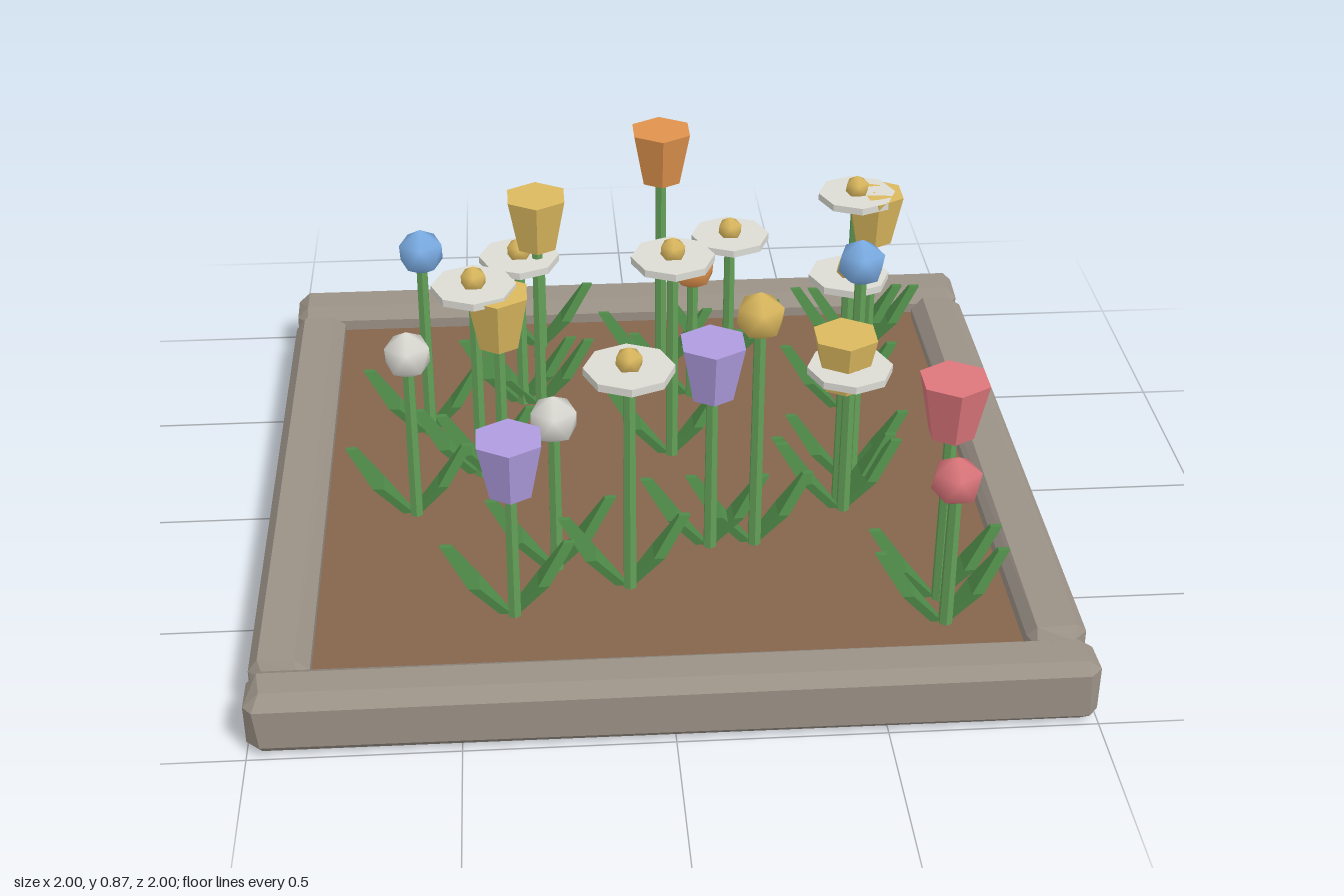
import * as THREE from 'three';
import { ConvexGeometry } from 'three/addons/geometries/ConvexGeometry.js';

const mat = (name, color, flatShading = true) => {
  const m = new THREE.MeshStandardMaterial({ color, flatShading });
  m.name = name;
  return m;
};

const SOIL_Y = 0.1;

export function createModel() {
  const M = {
    wood: mat('weathered wood', 0x9a9186),
    soil: mat('soil', 0x85644b),
    stem: mat('stem green', 0x639f57),
    leaf: mat('leaf green', 0x4f8a49),
    yellow: mat('yellow', 0xdcb95f, false),
    orange: mat('orange', 0xe0934e, false),
    purple: mat('purple', 0xaf9cdf, false),
    red: mat('red', 0xdd777c, false),
    blue: mat('blue', 0x7caee6, false),
    white: mat('white', 0xdcdbd4, false),
  };

  const root = new THREE.Group();
  root.name = 'flowerBed';
  const add = (parent, name, geo, material, x = 0, y = 0, z = 0) => {
    const mesh = new THREE.Mesh(geo, material);
    mesh.name = name;
    mesh.position.set(x, y, z);
    parent.add(mesh);
    return mesh;
  };

  let seed = 7;
  const rand = () => {
    seed = (seed * 16807) % 2147483647;
    return seed / 2147483647;
  };

  // Rough beam: a box whose corners are cut unevenly
  const beam = (w, h, d) => {
    const half = [w / 2, h / 2, d / 2];
    const pts = [];
    for (const sx of [-1, 1]) for (const sy of [-1, 1]) for (const sz of [-1, 1]) {
      const s = [sx, sy, sz];
      for (let axis = 0; axis < 3; axis++) {
        const p = half.map((e, i) => s[i] * (i === axis ? e : e - 0.02 - 0.02 * rand()));
        pts.push(new THREE.Vector3(...p));
      }
    }
    return new ConvexGeometry(pts);
  };

  // Frame
  add(root, 'frontBeam', beam(2, 0.165, 0.145), M.wood, 0, 0.0825, 0.9275);
  add(root, 'backBeam', beam(2, 0.165, 0.145), M.wood, 0, 0.0825, -0.9275);
  add(root, 'leftBeam', beam(0.145, 0.16, 1.715), M.wood, 0.9275, 0.08, 0);
  add(root, 'rightBeam', beam(0.145, 0.16, 1.715), M.wood, -0.9275, 0.08, 0);
  add(root, 'soil', new THREE.BoxGeometry(1.76, SOIL_Y - 0.02, 1.76), M.soil, 0, (SOIL_Y + 0.02) / 2, 0);

  // Leaf: a thin bar leaning outward, widest in the middle
  const leaf = (side) => {
    const geo = new THREE.BoxGeometry(0.028, 1, 1, 1, 2, 1);
    const p = geo.attributes.position;
    const rows = [[0.01, 0, 0.02], [0.085, 0.085, 0.066], [0.15, 0.185, 0.014]];
    for (let i = 0; i < p.count; i++) {
      const row = Math.round((p.getY(i) + 0.5) * 2);
      const [out, up, width] = rows[row];
      p.setXYZ(i, p.getX(i) + side * out - 0.012, up, p.getZ(i) * width - 0.012 * (row + 1));
    }
    geo.computeVertexNormals();
    return geo;
  };
  const leaves = [leaf(-1), leaf(1)];

  // Faceted bud with one corner straight up and smooth shading
  const bud = (r) => {
    const geo = new THREE.IcosahedronGeometry(r, 0);
    geo.rotateX(-Math.atan((1 + Math.sqrt(5)) / 2));
    const p = geo.attributes.position;
    const v = new THREE.Vector3();
    for (let i = 0; i < p.count; i++) {
      v.fromBufferAttribute(p, i).normalize();
      geo.attributes.normal.setXYZ(i, v.x, v.y, v.z);
    }
    return geo;
  };
  const ballGeo = bud(0.066);
  const eyeGeo = bud(0.037);
  const discGeo = new THREE.CylinderGeometry(0.11, 0.11, 0.02, 8).toNonIndexed();
  const cupGeo = new THREE.CylinderGeometry(0.088, 0.057, 0.15, 6).toNonIndexed();
  discGeo.computeVertexNormals();
  cupGeo.computeVertexNormals();

  // Flowers: [kind, colour, x, z, head height]
  const flowers = [
    ['ball', 'blue', -0.27, -0.72, 0.555], ['ball', 'orange', 0.15, -0.41, 0.51],
    ['ball', 'blue', -0.59, -0.25, 0.665], ['ball', 'white', -0.62, 0.15, 0.58],
    ['ball', 'blue', 0.54, 0.06, 0.755], ['ball', 'yellow', 0.25, 0.34, 0.765],
    ['ball', 'white', -0.26, 0.42, 0.54], ['ball', 'red', 0.68, 0.71, 0.51],
    ['daisy', 'white', 0.27, -0.58, 0.515], ['daisy', 'white', 0.64, -0.65, 0.6],
    ['daisy', 'white', -0.33, -0.4, 0.56], ['daisy', 'white', 0.57, -0.31, 0.52],
    ['daisy', 'white', 0.07, -0.1, 0.7], ['daisy', 'white', -0.45, -0.03, 0.67],
    ['daisy', 'white', 0.5, 0.2, 0.525], ['daisy', 'white', -0.08, 0.51, 0.725],
    ['tulip', 'orange', 0.07, -0.54, 0.795], ['tulip', 'yellow', 0.69, -0.645, 0.535],
    ['tulip', 'yellow', -0.28, -0.385, 0.68], ['tulip', 'yellow', -0.39, 0, 0.595],
    ['tulip', 'yellow', 0.49, 0.17, 0.535], ['tulip', 'purple', 0.135, 0.345, 0.625],
    ['tulip', 'purple', -0.37, 0.61, 0.535], ['tulip', 'red', 0.68, 0.61, 0.655],
  ];

  for (const [kind, colour, x, z, y] of flowers) {
    const flower = new THREE.Group();
    flower.name = kind + 'Flower';
    flower.position.set(x, 0, z);
    root.add(flower);

    const h = y - SOIL_Y - (kind === 'tulip' ? 0.07 : 0);
    add(flower, 'stem', new THREE.CylinderGeometry(0.016, 0.018, h, 6), M.stem, 0, SOIL_Y + h / 2, 0);
    leaves.forEach((geo) => add(flower, 'leaf', geo, M.leaf, 0, SOIL_Y, 0));

    if (kind === 'ball') add(flower, 'blossom', ballGeo, M[colour], 0, y, 0);
    if (kind === 'tulip') add(flower, 'cup', cupGeo, M[colour], 0, y, 0);
    if (kind === 'daisy') {
      add(flower, 'petals', discGeo, M[colour], 0, y, 0);
      add(flower, 'flowerCentre', eyeGeo, M.yellow, 0, y + 0.025, 0);
    }
  }
  return root;
}
